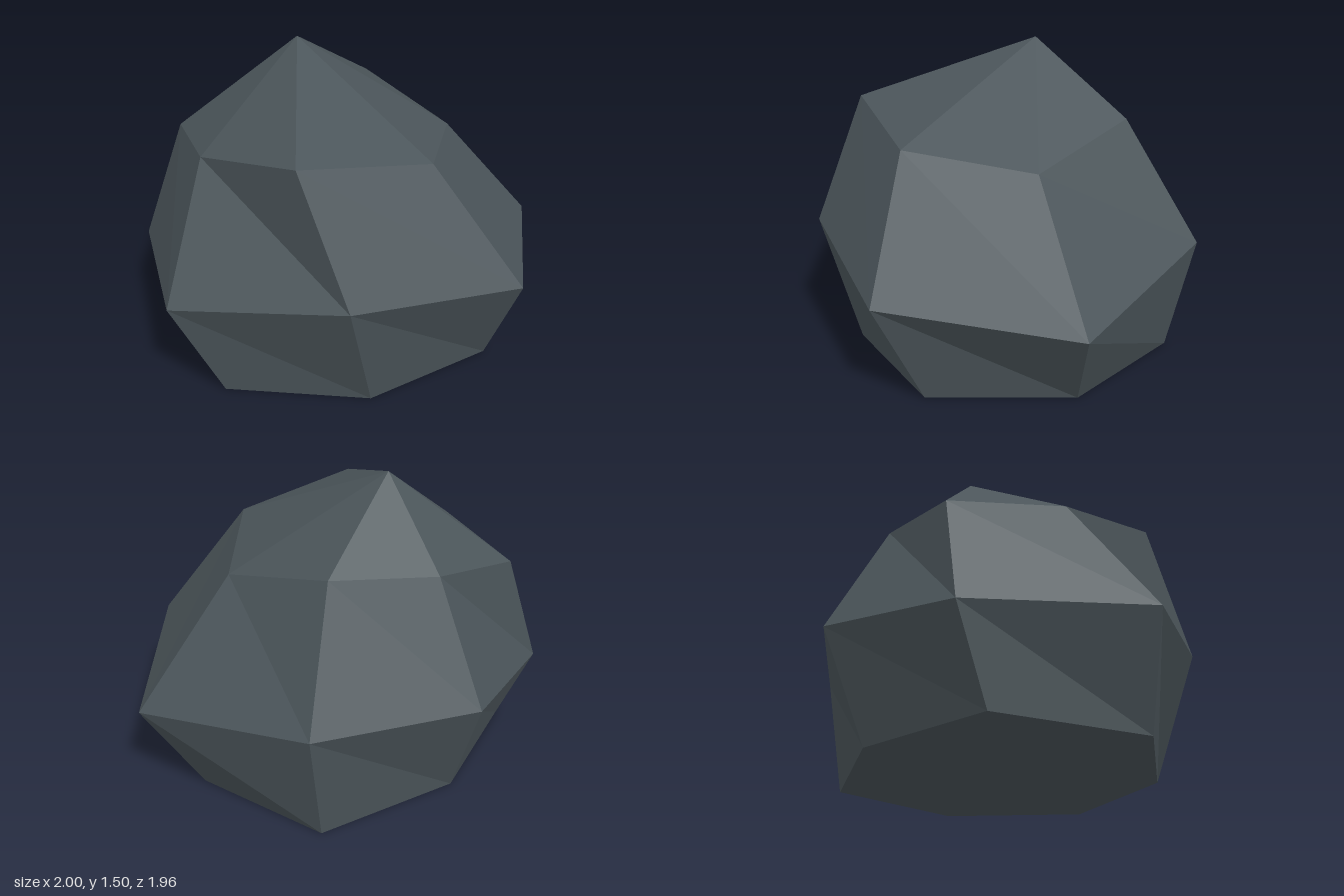
import * as THREE from 'three';

// Three seven-sided rings of [x, y, z], running from +x towards +z
const BASE = [
  [0.795, 0, 0], [0.43, 0, 0.59], [-0.23, 0, 0.83], [-0.83, 0, 0.38],
  [-0.7, 0, -0.32], [-0.19, 0, -0.85], [0.48, 0, -0.64],
];
const WAIST = [
  [1, 0.52, 0.14], [0.43, 0.615, 0.82], [-0.42, 0.49, 0.98], [-1, 0.43, 0.33],
  [-0.84, 0.56, -0.48], [-0.18, 0.595, -0.98], [0.73, 0.45, -0.78],
];
const SHOULDER = [
  [0.56, 1.11, 0.23], [0.13, 1.205, 0.73], [-0.46, 1.08, 0.57], [-0.85, 1.02, 0.17],
  [-0.59, 1.135, -0.33], [-0.15, 1.18, -0.6], [0.4, 1.04, -0.39],
];
const PEAK = [-0.28, 1.505, -0.06];

function rockGeometry() {
  const positions = [];
  const tri = (a, b, c) => positions.push(...a, ...b, ...c);
  // Two triangles per facet, split along the same diagonal all round
  const band = (low, high, i, j) => {
    tri(low[i], high[i], high[j]);
    tri(low[i], high[j], low[j]);
  };
  for (let i = 0; i < BASE.length; i++) {
    const j = (i + 1) % BASE.length;
    tri([0, 0, 0], BASE[i], BASE[j]); // flat underside
    band(BASE, WAIST, i, j);
    band(WAIST, SHOULDER, i, j);
    tri(SHOULDER[i], PEAK, SHOULDER[j]); // crown
  }
  const geometry = new THREE.BufferGeometry();
  geometry.setAttribute('position', new THREE.Float32BufferAttribute(positions, 3));
  geometry.computeVertexNormals();
  return geometry;
}

export function createModel() {
  const stone = new THREE.MeshStandardMaterial({ color: 0x4b555a, flatShading: true });
  stone.name = 'darkSlate';

  const rock = new THREE.Mesh(rockGeometry(), stone);
  rock.name = 'boulder';

  const group = new THREE.Group();
  group.name = 'rock';
  group.add(rock);
  return group;
}
